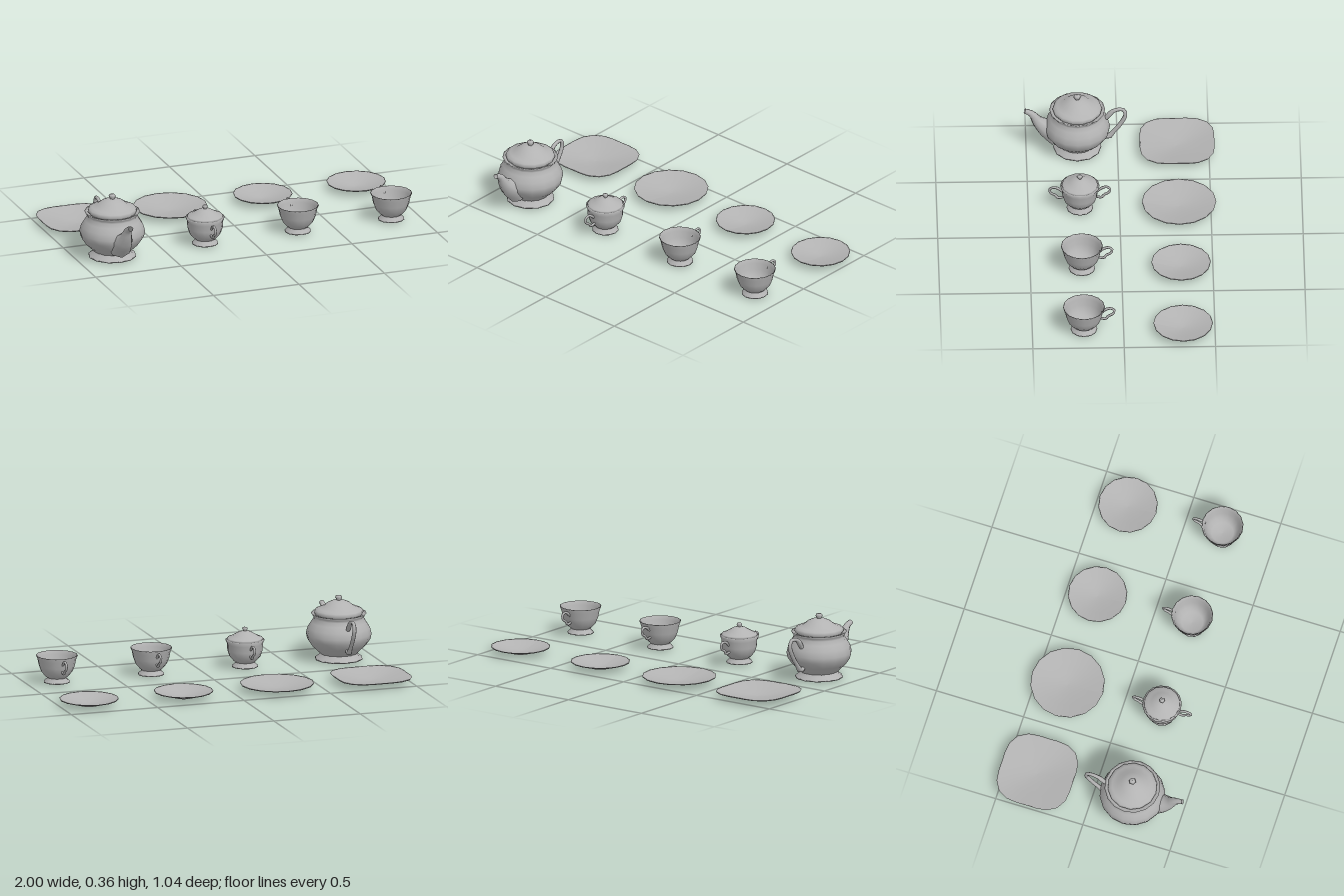
import * as THREE from 'three';
import { mergeVertices } from 'three/addons/utils/BufferGeometryUtils.js';

const china = new THREE.MeshStandardMaterial({ color: 0xb3b3b3, side: THREE.DoubleSide });
china.name = 'grey china';

function part(parent, name, geometry) {
  const mesh = new THREE.Mesh(geometry, china);
  mesh.name = name;
  parent.add(mesh);
  return mesh;
}

// Turned shape from [radius, height] pairs, listed from the bottom centre outwards
function turned(profile, sides) {
  return new THREE.LatheGeometry(profile.map(([r, y]) => new THREE.Vector2(r, y)), sides);
}

// Round bar along [z, y, radius] points in the x = 0 plane
function bar(points, segments, sides) {
  const curve = new THREE.CatmullRomCurve3(
    points.map(([z, y]) => new THREE.Vector3(0, y, z)), false, 'centripetal');
  const tube = new THREE.TubeGeometry(curve, segments, 1, sides);
  const pos = tube.attributes.position;
  const lengths = curve.getLengths(200);
  const total = lengths[200];
  const stops = points.map((_, i) => lengths[Math.round(i * 200 / (points.length - 1))] / total);
  const v = new THREE.Vector3();
  for (let i = 0; i <= segments; i++) {
    const u = i / segments;
    const centre = curve.getPointAt(u);
    let k = 0;
    while (k < points.length - 2 && u > stops[k + 1]) k++;
    const f = (u - stops[k]) / (stops[k + 1] - stops[k]);
    const radius = THREE.MathUtils.lerp(points[k][2], points[k + 1][2], f);
    for (let j = 0; j <= sides; j++) {
      const n = i * (sides + 1) + j;
      v.fromBufferAttribute(pos, n).sub(centre).multiplyScalar(radius).add(centre);
      pos.setXYZ(n, v.x, v.y, v.z);
    }
  }
  tube.deleteAttribute('normal');
  tube.deleteAttribute('uv');
  const welded = mergeVertices(tube, 1e-5);
  welded.computeVertexNormals();
  return welded;
}

function makeTeapot() {
  const pot = new THREE.Group();
  pot.name = 'teapot';
  part(pot, 'teapotFoot', turned([
    [0, 0.006], [0.132, 0.006], [0.131, 0.013], [0.112, 0.026], [0.1, 0.046]], 12));
  part(pot, 'teapotBody', turned([
    [0.098, 0.035], [0.115, 0.052], [0.15, 0.085], [0.174, 0.12], [0.18, 0.15],
    [0.171, 0.185], [0.152, 0.215], [0.138, 0.237], [0.142, 0.25], [0.153, 0.264],
    [0.14, 0.262], [0.125, 0.255]], 16));
  part(pot, 'teapotLid', turned([
    [0.128, 0.256], [0.136, 0.268], [0.131, 0.283], [0.112, 0.291], [0.085, 0.302],
    [0.062, 0.321], [0.034, 0.333], [0.014, 0.336], [0, 0.337]], 14));
  part(pot, 'teapotKnob', turned([
    [0.012, 0.33], [0.014, 0.34], [0.02, 0.35], [0.016, 0.36], [0, 0.363]], 6));
  part(pot, 'spout', bar([
    [0.11, 0.1, 0.07], [0.175, 0.145, 0.052], [0.215, 0.185, 0.033],
    [0.24, 0.226, 0.022], [0.262, 0.247, 0.016], [0.288, 0.257, 0.014]], 12, 8));
  part(pot, 'teapotHandle', bar([
    [-0.155, 0.2, 0.012], [-0.178, 0.23, 0.015], [-0.2, 0.252, 0.011], [-0.25, 0.259, 0.01],
    [-0.264, 0.225, 0.012], [-0.235, 0.16, 0.012], [-0.195, 0.105, 0.012],
    [-0.17, 0.075, 0.017], [-0.14, 0.085, 0.012]], 18, 6));
  return pot;
}

// Open cup with a flared foot; the inside is part of the same profile
function makeCup(name) {
  const cup = new THREE.Group();
  cup.name = name;
  part(cup, 'cupFoot', turned([
    [0, 0.006], [0.073, 0.006], [0.072, 0.011], [0.056, 0.025], [0.053, 0.036]], 12));
  part(cup, 'cupBowl', turned([
    [0.05, 0.03], [0.065, 0.042], [0.086, 0.066], [0.099, 0.1], [0.106, 0.135],
    [0.115, 0.157], [0.111, 0.158], [0.102, 0.135], [0.094, 0.1], [0.081, 0.068],
    [0.06, 0.046], [0, 0.04]], 16));
  addCupHandle(cup, 1);
  return cup;
}

// Ear-shaped handle; side 1 points backwards, -1 forwards
function addCupHandle(parent, side) {
  const handle = part(parent, 'cupHandle', bar([
    [-0.098, 0.118, 0.006], [-0.118, 0.138, 0.008], [-0.146, 0.146, 0.007],
    [-0.166, 0.132, 0.007], [-0.158, 0.108, 0.007], [-0.134, 0.094, 0.007],
    [-0.12, 0.076, 0.008], [-0.09, 0.08, 0.006]], 16, 6));
  if (side < 0) handle.rotation.y = Math.PI;
}

function makeSugarBowl() {
  const bowl = new THREE.Group();
  bowl.name = 'sugarBowl';
  part(bowl, 'sugarFoot', turned([
    [0, 0.006], [0.073, 0.006], [0.072, 0.011], [0.056, 0.025], [0.053, 0.036]], 12));
  part(bowl, 'sugarBody', turned([
    [0.05, 0.03], [0.065, 0.042], [0.086, 0.066], [0.097, 0.1], [0.098, 0.135],
    [0.108, 0.157], [0.096, 0.158]], 16));
  part(bowl, 'sugarLid', turned([
    [0.09, 0.15], [0.1, 0.16], [0.097, 0.168], [0.078, 0.175], [0.057, 0.187],
    [0.035, 0.2], [0.012, 0.206], [0, 0.207]], 14));
  part(bowl, 'sugarKnob', turned([
    [0.009, 0.2], [0.01, 0.209], [0.016, 0.217], [0.012, 0.226], [0, 0.228]], 6));
  addCupHandle(bowl, 1);
  addCupHandle(bowl, -1);
  return bowl;
}

// Shallow plate; squareness pushes the rim towards a rounded square
function makePlate(name, radius, squareness) {
  const plate = turned([
    [0, 0], [0.3, 0.001], [0.62, 0.017], [0.985, 0.034], [1, 0.04],
    [0.97, 0.038], [0.62, 0.023], [0.3, 0.01], [0, 0.007]], squareness ? 24 : 16);
  const pos = plate.attributes.position;
  for (let i = 0; i < pos.count; i++) {
    const x = pos.getX(i), z = pos.getZ(i);
    const r = Math.hypot(x, z);
    const diagonal = r > 0 ? Math.abs(2 * x * z) / (r * r) : 0;
    const s = radius * (1 + squareness * diagonal * diagonal * r);
    pos.setX(i, x * s);
    pos.setZ(i, z * s);
  }
  plate.computeVertexNormals();
  const group = new THREE.Group();
  group.name = name;
  part(group, 'plateDish', plate);
  return group;
}

export function createModel() {
  const set = new THREE.Group();
  set.name = 'teaSet';
  const place = (item, x, z) => {
    item.position.set(x, 0, z);
    set.add(item);
  };
  // Front row
  place(makeTeapot(), -0.797, 0.22);
  place(makeSugarBowl(), -0.253, 0.217);
  place(makeCup('cupInner'), 0.29, 0.217);
  place(makeCup('cupOuter'), 0.836, 0.217);
  // Back row
  place(makePlate('squarePlate', 0.204, 0.16), -0.796, -0.326);
  place(makePlate('roundPlate', 0.204, 0), -0.251, -0.326);
  place(makePlate('saucerInner', 0.163, 0), 0.29, -0.326);
  place(makePlate('saucerOuter', 0.163, 0), 0.837, -0.326);
  return set;
}
